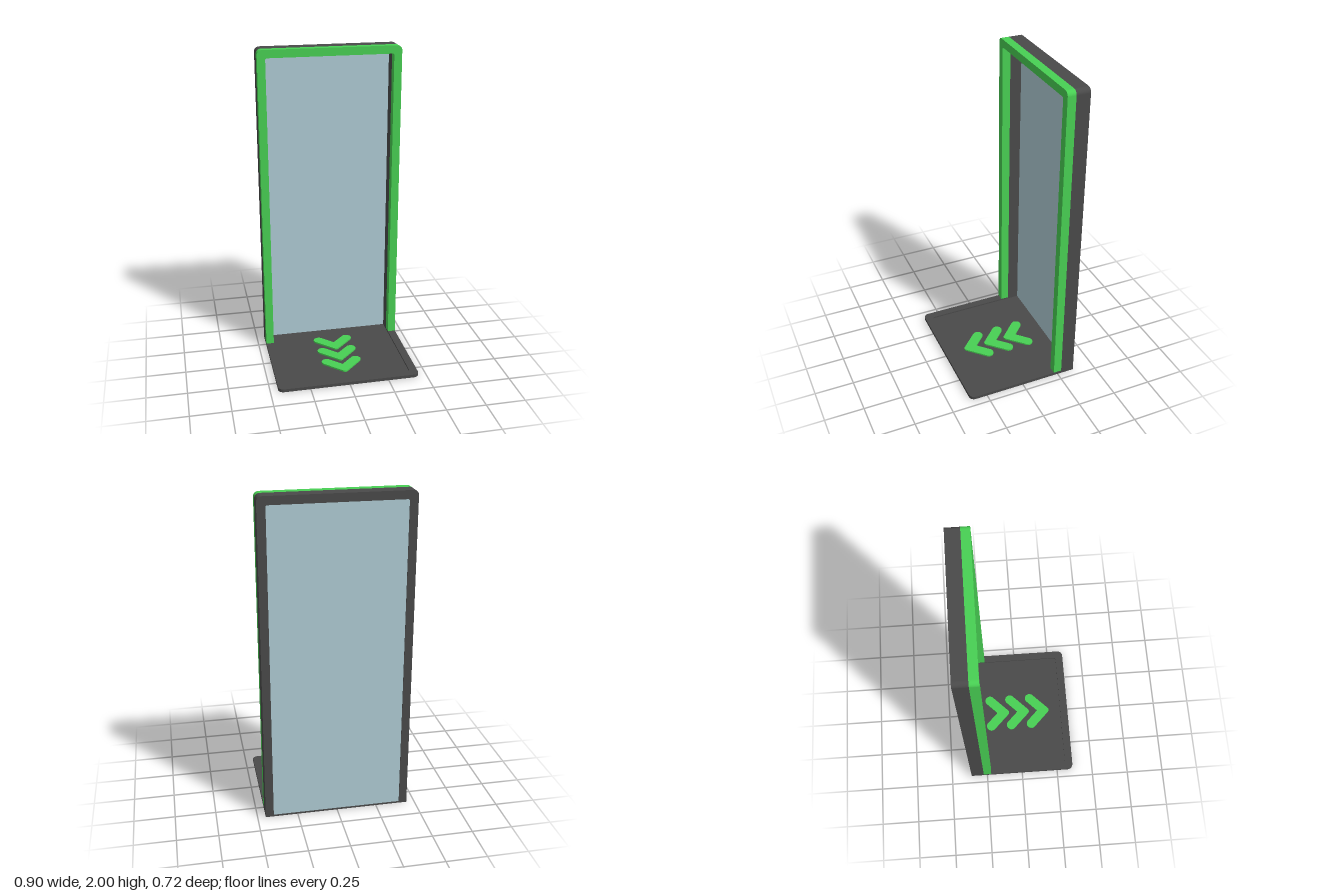
import * as THREE from 'three';

const mat = (color) => new THREE.MeshStandardMaterial({ color });
const dark = mat(0x4a4a4a), green = mat(0x48d053), glass = mat(0xafccd5);

// U-shaped outline, open along the line v = v0, with rounded far corners
function arch(half, inner, v0, v1, v1In, r, rIn) {
  const s = new THREE.Shape();
  s.moveTo(half, v0);
  s.lineTo(half, v1 - r);
  s.absarc(half - r, v1 - r, r, 0, Math.PI / 2);
  s.absarc(-half + r, v1 - r, r, Math.PI / 2, Math.PI);
  s.lineTo(-half, v0);
  s.lineTo(-inner, v0);
  s.lineTo(-inner, v1In - rIn);
  s.absarc(-inner + rIn, v1In - rIn, rIn, Math.PI, Math.PI / 2, true);
  s.absarc(inner - rIn, v1In - rIn, rIn, Math.PI / 2, 0, true);
  s.lineTo(inner, v0);
  s.closePath();
  return s;
}

// Filled panel with the two far corners rounded
function panel(half, v0, v1, r) {
  const s = new THREE.Shape();
  s.moveTo(-half, v0);
  s.lineTo(half, v0);
  s.absarc(half - r, v1 - r, r, 0, Math.PI / 2);
  s.absarc(-half + r, v1 - r, r, Math.PI / 2, Math.PI);
  s.closePath();
  return s;
}

// Chevron with round arm ends and a softened tip, pointing to -v
function chevron(arm, h, tip) {
  const q = Math.PI / 4, k = Math.SQRT2;
  const s = new THREE.Shape();
  s.absarc(0, (tip - h) * k, tip, 5 * q, 7 * q);
  s.absarc(arm, arm, h, -q, 3 * q);
  s.lineTo(0, h * k);
  s.absarc(-arm, arm, h, q, 5 * q);
  s.closePath();
  return s;
}

export function createModel() {
  const model = new THREE.Group();
  const add = (name, shape, depth, material) => {
    const geo = new THREE.ExtrudeGeometry(shape, { depth, bevelEnabled: false, curveSegments: 10 });
    const mesh = new THREE.Mesh(geo, material);
    mesh.name = name;
    model.add(mesh);
    return mesh;
  };
  // Lay an upright shape flat: shape v axis becomes +z
  const layFront = (mesh, top) => {
    mesh.rotation.x = Math.PI / 2;
    mesh.position.y = top;
    return mesh;
  };

  // Door frame: dark rear part and green front trim
  add('rearFrame', arch(0.45, 0.4, 0, 2, 1.95, 0.03, 0.01), 0.087, dark).position.z = -0.362;
  add('frontTrim', arch(0.45, 0.4, 0.02, 2, 1.95, 0.03, 0.01), 0.053, green).position.z = -0.275;

  // Glass pane near the back of the frame
  add('glassPane', panel(0.4, 0.01, 1.95, 0.01), 0.01, glass).position.z = -0.359;

  // Floor plate with a raised rim
  layFront(add('baseRim', arch(0.45, 0.4, -0.275, 0.362, 0.31, 0.035, 0.015), 0.02, dark), 0.02);
  layFront(add('baseFloor', panel(0.4, -0.362, 0.31, 0.015), 0.01, dark), 0.01);

  // Three arrows leading out of the doorway
  for (let i = 0; i < 3; i++) {
    const arrow = add(`floorArrow${i + 1}`, chevron(0.096, 0.033, 0.02), 0.017, green);
    arrow.rotation.x = -Math.PI / 2;
    arrow.position.set(0, 0.003, -0.103 + i * 0.145);
  }
  return model;
}
